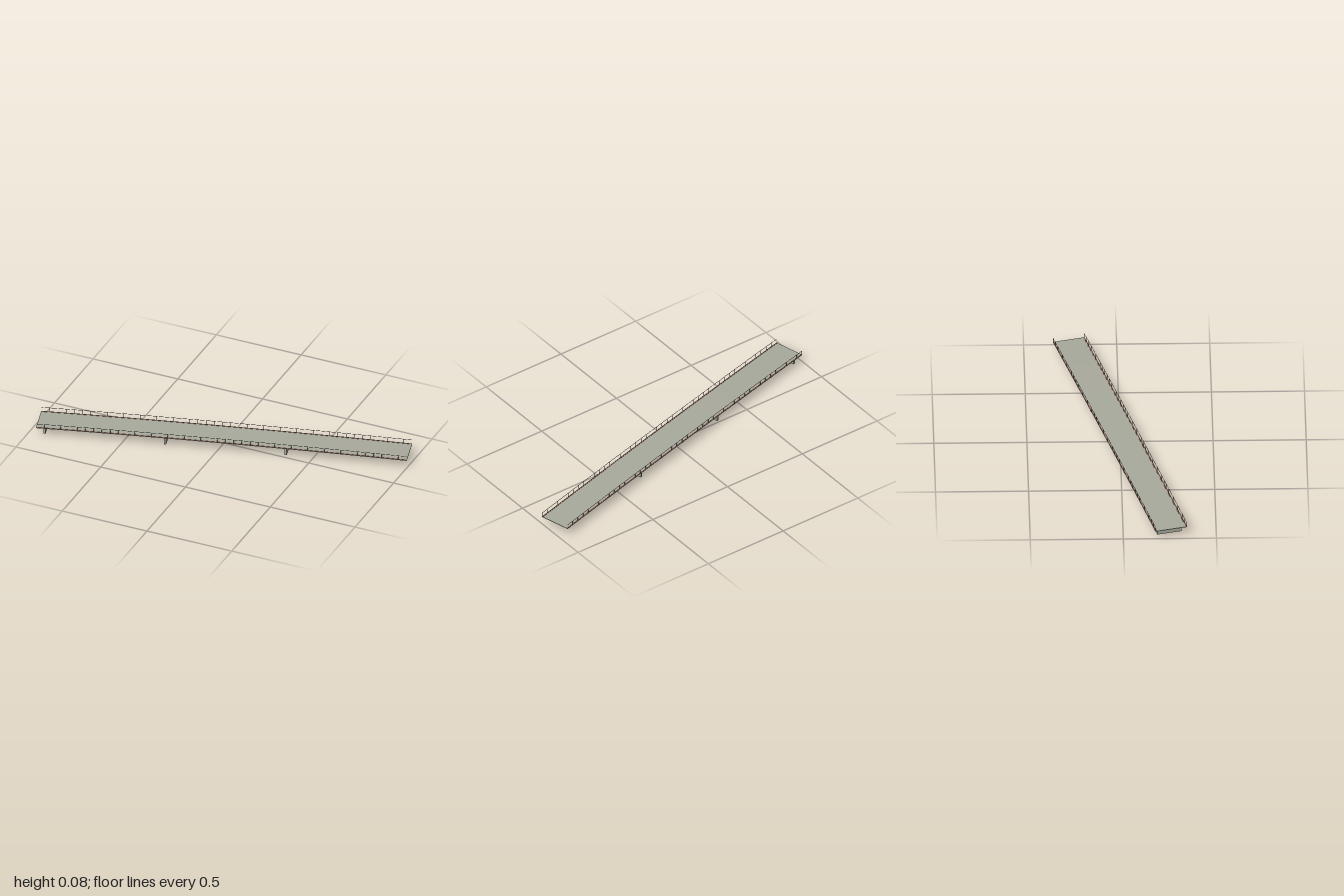
import * as THREE from 'three';

const LENGTH = 2.02, WIDTH = 0.176, POSTS = 46;

// Gentle arch: underside height of the deck at distance u along the bridge
const arch = (u) => 0.043 + 0.008 * (1 - (u / (LENGTH / 2)) ** 2);

const concrete = new THREE.MeshStandardMaterial({ color: 0xa9aa9d });
const steel = new THREE.MeshStandardMaterial({ color: 0x4a4a4a });
const brick = new THREE.MeshStandardMaterial({ color: 0x9c6a5a });

// Long bar that follows the arch, with its bottom 'lift' above the underside
function archedBar(name, height, depth, lift, z, material) {
  const g = new THREE.BoxGeometry(LENGTH, height, depth, 45, 1, 1);
  const p = g.attributes.position;
  for (let i = 0; i < p.count; i++) {
    p.setY(i, p.getY(i) + height / 2 + lift + arch(p.getX(i)));
  }
  g.translate(0, 0, z);
  g.computeVertexNormals();
  const mesh = new THREE.Mesh(g, material);
  mesh.name = name;
  return mesh;
}

function box(name, w, h, d, x, y, z, material) {
  const mesh = new THREE.Mesh(new THREE.BoxGeometry(w, h, d), material);
  mesh.position.set(x, y, z);
  mesh.name = name;
  return mesh;
}

export function createModel() {
  const model = new THREE.Group();
  model.name = 'bridge';
  const span = new THREE.Group();
  span.name = 'span';
  span.rotation.y = THREE.MathUtils.degToRad(14.8);
  model.add(span);

  // Roadway
  span.add(archedBar('deck', 0.003, WIDTH, 0, 0, concrete));

  // Curb and railing on each side
  for (const s of [-1, 1]) {
    const railing = new THREE.Group();
    railing.name = s > 0 ? 'frontRailing' : 'backRailing';
    const z = s * (WIDTH / 2 - 0.0008);
    railing.add(archedBar('curb', 0.0015, 0.005, 0.003, s * (WIDTH / 2 - 0.004), brick));
    railing.add(archedBar('topRail', 0.0015, 0.0015, 0.0255, z, steel));
    for (let i = 0; i < POSTS; i++) {
      const u = (i / (POSTS - 1) - 0.5) * (LENGTH - 0.0015);
      railing.add(box('post', 0.0015, 0.025, 0.0015, u, arch(u) + 0.0135, z, steel));
    }
    span.add(railing);
  }

  // Wall piers at even spacing, reaching into the deck
  for (const u of [-0.967, -0.31, 0.347]) {
    const h = arch(u) + 0.001;
    span.add(box('pier', 0.012, h, 0.135, u, h / 2, 0, concrete));
  }
  return model;
}
